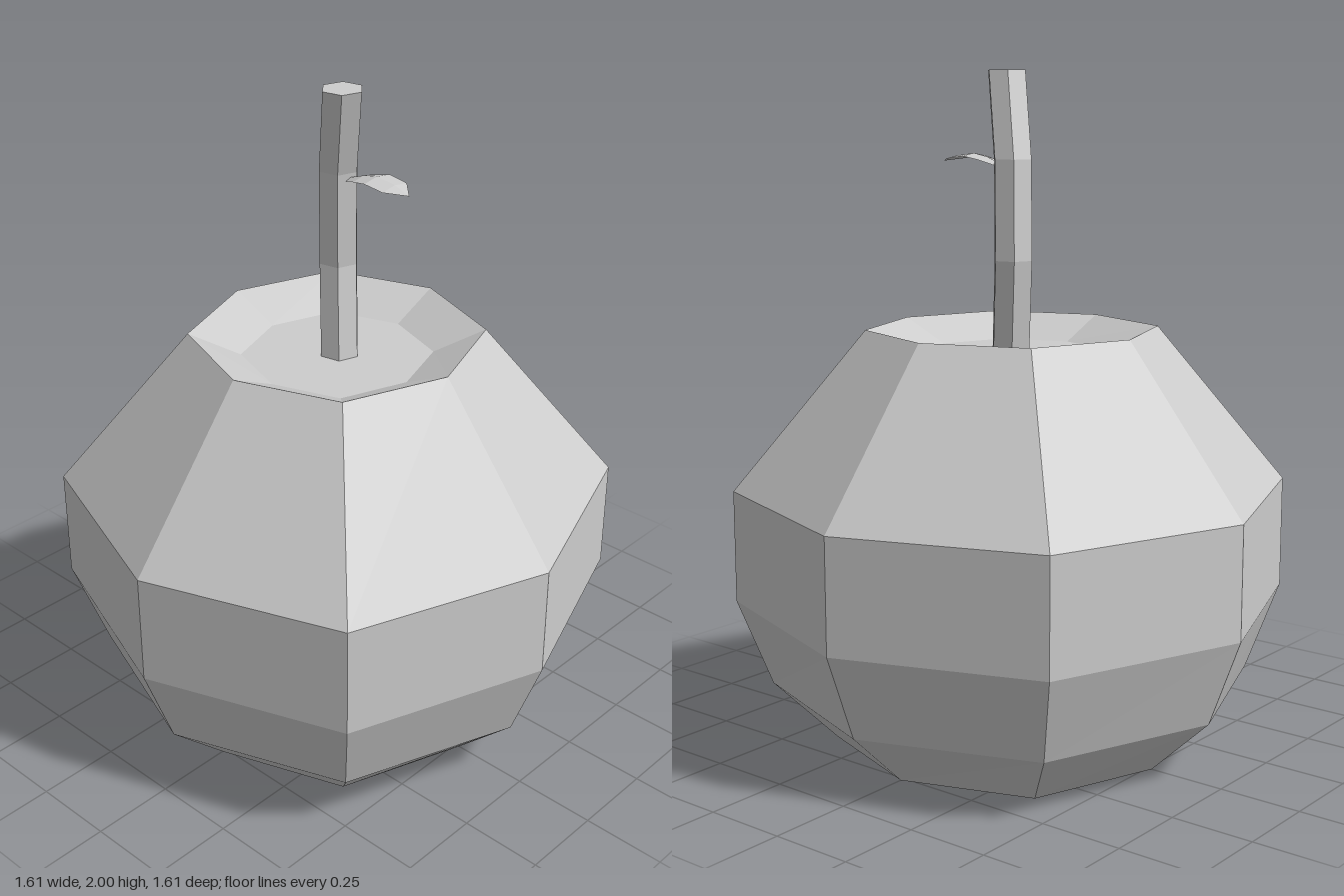
import * as THREE from 'three';

// Flat-shaded geometry from a list of [x, y, z] points and triangle indices
function faceted(points, faces) {
  const indexed = new THREE.BufferGeometry();
  indexed.setAttribute('position', new THREE.Float32BufferAttribute(points.flat(), 3));
  indexed.setIndex(faces);
  const geometry = indexed.toNonIndexed();
  geometry.computeVertexNormals();
  return geometry;
}

// Skin a stack of equal rings (ordered along the surface) and cap both ends
function loft(rings, bottomCentre, topCentre) {
  const n = rings[0].length;
  const points = [...rings.flat(), bottomCentre, topCentre];
  const bottom = points.length - 2, top = points.length - 1;
  const last = (rings.length - 1) * n;
  const faces = [];
  for (let i = 0; i < n; i++) {
    const j = (i + 1) % n;
    for (let r = 0; r < last; r += n) {
      faces.push(r + i, r + j, r + n + j, r + i, r + n + j, r + n + i);
    }
    faces.push(bottom, j, i, top, last + i, last + j);
  }
  return faceted(points, faces);
}

// Eight-sided ring: axis corners at distance a, diagonal corners at (d, d)
function octagon([y, a, d]) {
  return [[0, y, a], [d, y, d], [a, y, 0], [d, y, -d],
    [0, y, -a], [-d, y, -d], [-a, y, 0], [-d, y, d]];
}

// Six-sided ring around a stem point
function hexagon([x, y, z]) {
  return Array.from({ length: 6 }, (_, i) => {
    const t = (i / 6) * Math.PI * 2 + 0.2;
    return [x + 0.061 * Math.sin(t), y, z + 0.061 * Math.cos(t)];
  });
}

export function createModel() {
  const group = new THREE.Group();
  const grey = new THREE.MeshStandardMaterial({
    color: 0xcccccc, flatShading: true, side: THREE.DoubleSide,
  });
  grey.name = 'light grey';
  const add = (name, geometry) => {
    const mesh = new THREE.Mesh(geometry, grey);
    mesh.name = name;
    group.add(mesh);
  };

  // Fruit body, with a shallow hollow at the top
  const bodyRings = [
    [0, 0.515, 0.38], [0.18, 0.705, 0.515], [0.44, 0.803, 0.588],
    [0.775, 0.803, 0.588], [1.25, 0.42, 0.308], [1.18, 0.27, 0.2],
  ].map(octagon);
  add('fruit', loft(bodyRings, [0, 0, 0], [0, 1.18, 0]));

  // Crooked stem
  const path = [[0.01, 1.175, 0], [0.04, 1.455, -0.033], [0.02, 1.745, -0.015], [-0.03, 2, 0.047]];
  add('stem', loft(path.map(hexagon), path[0], path[3]));

  // Arched leaf: rows of left edge, midrib, right edge, then a pointed tip
  const rows = [[0.03, 1.73, 0.015], [0.085, 1.75, 0.042], [0.135, 1.76, 0.052], [0.2, 1.752, 0.05]];
  const points = rows.flatMap(([z, y, w]) =>
    [[0.015 - w, y - 0.008, z], [0.015, y, z], [0.015 + w, y - 0.008, z]]);
  points.push([0.012, 1.735, 0.255]);
  const faces = [];
  for (let r = 0; r < 9; r += 3) {
    for (let c = r; c < r + 2; c++) faces.push(c, c + 3, c + 4, c, c + 4, c + 1);
  }
  faces.push(9, 12, 10, 10, 12, 11);
  add('leaf', faceted(points, faces));

  return group;
}
